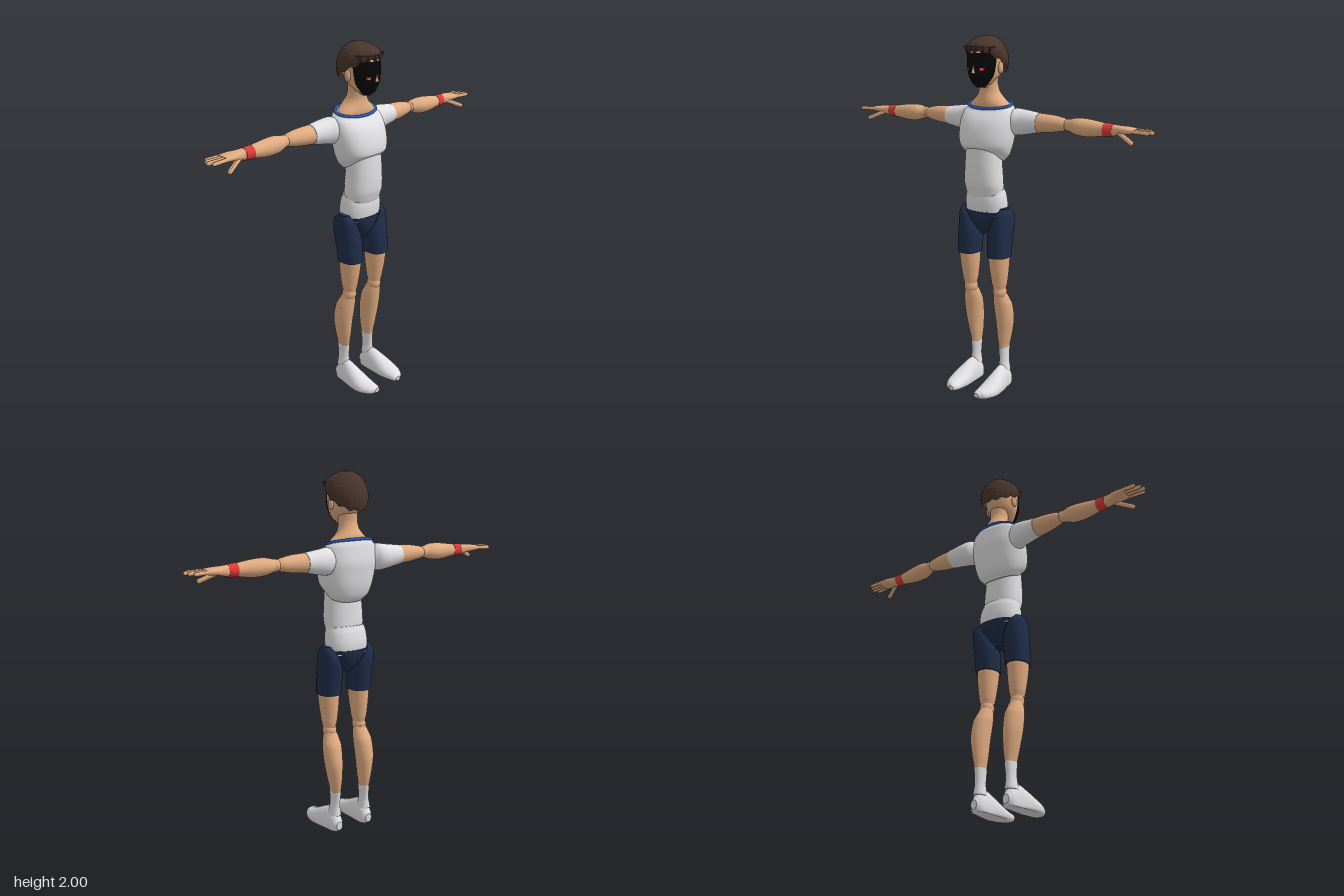
import * as THREE from 'three';

const mat = (name, color) => Object.assign(new THREE.MeshStandardMaterial({ color }), { name });

// Smooth tube through cross-sections [t, cA, cB, rA, rB] along 'x' (A=z,B=y), 'y' (A=x,B=z) or 'z' (A=y,B=x)
function loft(axis, sections, { power = 2, from = 0, to = Math.PI * 2, caps = true, rule = null, n = 28 } = {}) {
  const closed = to - from > 6.28, cols = closed ? n : n + 1, steps = 4, rings = [];
  const at = (i) => sections[Math.max(0, Math.min(sections.length - 1, i))];
  for (let i = 0; i < sections.length - 1; i++) {
    for (let s = 0; s < steps; s++) {
      const u = s / steps;
      rings.push(at(i).map((b, k) => {
        const a = at(i - 1)[k], c = at(i + 1)[k], d = at(i + 2)[k];
        if (k === 0) return b + (c - b) * u;
        return 0.5 * (2 * b + (c - a) * u + (2 * a - 5 * b + 4 * c - d) * u * u + (3 * b - a - 3 * c + d) * u ** 3);
      }));
    }
  }
  rings.push(at(sections.length - 1));
  if (caps) {
    const point = (r) => [r[0], r[1], r[2], 0, 0], first = rings[0], last = rings[rings.length - 1];
    rings.unshift(point(first), first);
    rings.push(last, point(last));
  }
  const pos = [], index = [], v = new THREE.Vector3();
  const bend = (x) => Math.sign(x) * Math.abs(x) ** (2 / power);
  for (const [t, cA, cB, rA, rB] of rings) {
    for (let j = 0; j < cols; j++) {
      const th = from + (to - from) * j / n;
      const A = cA + rA * bend(Math.cos(th)), B = cB + rB * bend(Math.sin(th));
      if (axis === 'y') v.set(A, t, B);
      else if (axis === 'x') v.set(t, B, A);
      else v.set(B, A, t);
      if (rule) rule(v);
      pos.push(v.x, v.y, v.z);
    }
  }
  for (let i = 0; i < rings.length - 1; i++) {
    if (caps && (i === 1 || i === rings.length - 3)) continue; // crisp cap edges
    for (let j = 0; j < n; j++) {
      const a = i * cols + j, b = i * cols + (j + 1) % cols, c = a + cols, d = b + cols;
      index.push(a, c, b, b, c, d);
    }
  }
  const g = new THREE.BufferGeometry();
  g.setAttribute('position', new THREE.Float32BufferAttribute(pos, 3));
  g.setIndex(index);
  g.computeVertexNormals();
  return g;
}

const ball = (x, y, z, rx, ry, rz) => new THREE.SphereGeometry(1, 20, 14).scale(rx, ry, rz).translate(x, y, z);

// Rounded finger between two points
function finger(a, b, r) {
  const p = new THREE.Vector3(...a), q = new THREE.Vector3(...b), d = q.clone().sub(p);
  const turn = new THREE.Quaternion().setFromUnitVectors(new THREE.Vector3(0, 1, 0), d.clone().normalize());
  return new THREE.CapsuleGeometry(r, d.length(), 4, 10).applyQuaternion(turn)
    .translate((p.x + q.x) / 2, (p.y + q.y) / 2, (p.z + q.z) / 2);
}

function mirrorX(geometry) {
  const g = geometry.clone();
  g.scale(-1, 1, 1);
  const idx = g.index.array;
  for (let i = 0; i < idx.length; i += 3) [idx[i + 1], idx[i + 2]] = [idx[i + 2], idx[i + 1]];
  g.computeVertexNormals();
  return g;
}

export function createModel() {
  const model = new THREE.Group();
  model.name = 'figure';
  const skin = mat('skin', 0xe0ab80), white = mat('white cloth', 0xe0e0e2), navy = mat('navy cloth', 0x1f2d48);
  const hairBrown = mat('brown hair', 0x49352c), black = mat('black mask', 0x070707);
  const red = mat('red', 0xe03a3a), blue = mat('blue trim', 0x2a5cc4);
  hairBrown.flatShading = true;
  hairBrown.side = black.side = THREE.DoubleSide;

  const add = (name, geometry, material) => {
    const m = new THREE.Mesh(geometry, material);
    m.name = name;
    model.add(m);
  };
  const pair = (name, geometry, material) => {
    add(name + 'Left', geometry, material);
    add(name + 'Right', mirrorX(geometry), material);
  };

  // Torso: ribcage arches up at the front and its neckline rises at the back
  add('chest', loft('y', [
    [1.335, 0, -0.035, 0.105, 0.075], [1.37, 0, -0.035, 0.132, 0.105], [1.41, 0, -0.04, 0.148, 0.12],
    [1.46, 0, -0.045, 0.158, 0.122], [1.53, 0, -0.058, 0.163, 0.114], [1.6, 0, -0.07, 0.155, 0.088],
    [1.63, 0, -0.075, 0.13, 0.07],
  ], { power: 2.4, n: 40, rule: (v) => {
    const low = THREE.MathUtils.smoothstep(1.43 - v.y, 0, 0.09), high = THREE.MathUtils.smoothstep(v.y, 1.55, 1.63);
    v.y += 0.4 * (v.z + 0.04) * low - 0.27 * (v.z + 0.075) * high;
  } }), white);
  add('abdomen', loft('y', [
    [1.12, 0, -0.025, 0.095, 0.07], [1.15, 0, -0.025, 0.107, 0.08], [1.2, 0, -0.018, 0.112, 0.088],
    [1.3, 0, -0.014, 0.106, 0.087], [1.42, 0, -0.015, 0.1, 0.08],
  ], { power: 2.3 }), white);
  add('waist', loft('y', [
    [1.02, 0, -0.047, 0.118, 0.088], [1.08, 0, -0.045, 0.122, 0.093], [1.13, 0, -0.04, 0.118, 0.088],
    [1.165, 0, -0.035, 0.11, 0.078],
  ], { power: 2.3, rule: (v) => { v.y -= 0.15 * (v.z + 0.04) * THREE.MathUtils.smoothstep(v.y, 1.08, 1.16); } }), white);
  add('shortsSeat', loft('y', [
    [0.91, 0, -0.04, 0.025, 0.04], [0.95, 0, -0.042, 0.05, 0.07], [1.0, 0, -0.045, 0.095, 0.088],
    [1.045, 0, -0.047, 0.124, 0.094],
  ], { power: 2.3 }), navy);

  // Neck and collar
  add('neck', loft('y', [
    [1.6, 0, -0.075, 0.138, 0.068], [1.635, 0, -0.075, 0.118, 0.072], [1.67, 0, -0.075, 0.078, 0.068],
    [1.7, 0, -0.068, 0.058, 0.057], [1.74, 0, -0.06, 0.052, 0.053], [1.8, 0, -0.06, 0.055, 0.055],
  ]), skin);
  const rim = [];
  for (let i = 0; i < 32; i++) {
    const a = i / 32 * Math.PI * 2;
    rim.push(new THREE.Vector3(0.134 * Math.cos(a), 1.63 - 0.02 * Math.sin(a), -0.075 + 0.073 * Math.sin(a)));
  }
  add('collarTrim', new THREE.TubeGeometry(new THREE.CatmullRomCurve3(rim, true), 64, 0.008, 8, true), blue);

  // Head with mask over the face
  const skull = [
    [1.725, 0, 0.0, 0.025, 0.03], [1.745, 0, -0.005, 0.048, 0.058], [1.79, 0, -0.026, 0.077, 0.097],
    [1.85, 0, -0.034, 0.09, 0.112], [1.91, 0, -0.04, 0.092, 0.112], [1.96, 0, -0.04, 0.07, 0.085],
  ];
  add('head', loft('y', skull), skin);
  add('faceMask', loft('y', skull.slice(0, 5).map(([y, x, z, rx, rz]) => [y, x, z, rx + 0.004, rz + 0.004]),
    { from: 0.3, to: Math.PI - 0.3, caps: false }), black);
  add('nose', new THREE.ConeGeometry(0.011, 0.045, 8).translate(0, 1.827, 0.084), skin);
  pair('ear', ball(0.093, 1.83, -0.04, 0.013, 0.032, 0.02), skin);
  pair('eye', new THREE.BoxGeometry(0.024, 0.014, 0.008).rotateY(0.4).translate(0.047, 1.825, 0.068), red);
  pair('eyeGlint', new THREE.BoxGeometry(0.008, 0.006, 0.009).rotateY(0.4).translate(0.047, 1.826, 0.07), white);

  // Hair cap, longer at the nape, with a ragged hem
  const hair = new THREE.SphereGeometry(1, 24, 10, 0, Math.PI * 2, 0, Math.PI * 0.62), hp = hair.attributes.position;
  const hem = Math.cos(Math.PI * 0.62);
  for (let i = 0; i < hp.count; i++) {
    const x = hp.getX(i), z = hp.getZ(i), t = (hp.getY(i) - hem) / (1 - hem);
    const edge = 1.85 + 0.065 * z + (i % 25 % 2 ? 0.014 : 0) * (1 - t);
    hp.setXYZ(i, x * 0.11, edge + (2 - edge) * t, -0.05 + z * 0.13);
  }
  hair.computeVertexNormals();
  add('hair', hair, hairBrown);
  for (let i = -2; i <= 2; i++) {
    const a = i * 0.42;
    add('fringeLock', new THREE.ConeGeometry(0.024, 0.055, 5).rotateX(Math.PI)
      .translate(0.1 * Math.sin(a), 1.915, -0.045 + 0.112 * Math.cos(a)), hairBrown);
  }

  // Arms
  pair('sleeve', loft('x', [
    [0.12, -0.09, 1.54, 0.045, 0.055], [0.155, -0.1, 1.54, 0.066, 0.073], [0.2, -0.11, 1.54, 0.065, 0.069],
    [0.3, -0.11, 1.543, 0.057, 0.054],
  ]), white);
  pair('upperArm', loft('x', [
    [0.29, -0.11, 1.543, 0.055, 0.052], [0.38, -0.112, 1.545, 0.048, 0.046], [0.44, -0.115, 1.545, 0.037, 0.036],
    [0.465, -0.115, 1.545, 0.028, 0.028],
  ]), skin);
  pair('elbow', ball(0.475, 1.545, -0.115, 0.033, 0.032, 0.033), skin);
  pair('forearm', loft('x', [
    [0.475, -0.112, 1.545, 0.032, 0.031], [0.53, -0.107, 1.543, 0.049, 0.045], [0.6, -0.105, 1.54, 0.046, 0.046],
    [0.7, -0.105, 1.54, 0.034, 0.033],
  ]), skin);
  pair('wristband', loft('x', [[0.69, -0.105, 1.54, 0.037, 0.036], [0.74, -0.107, 1.54, 0.034, 0.033]]), red);
  pair('hand', loft('x', [
    [0.735, -0.107, 1.54, 0.03, 0.03], [0.77, -0.108, 1.542, 0.035, 0.025], [0.81, -0.11, 1.545, 0.045, 0.02],
    [0.85, -0.11, 1.545, 0.046, 0.016], [0.865, -0.11, 1.545, 0.04, 0.012],
  ], { power: 2.5 }), skin);
  [0.925, 0.945, 0.955, 0.94].forEach((tip, i) => {
    const z = -0.146 + i * 0.024;
    pair('finger', finger([0.85, 1.546, z], [tip, 1.543, z - 0.004 + i * 0.003], 0.0105), skin);
  });
  pair('thumb', finger([0.775, 1.533, -0.088], [0.865, 1.492, -0.05], 0.013), skin);

  // Legs
  pair('shortsLeg', loft('y', [
    [0.79, 0.1, -0.022, 0.062, 0.073], [0.9, 0.1, -0.032, 0.065, 0.079], [0.97, 0.108, -0.042, 0.056, 0.08],
    [1.03, 0.12, -0.045, 0.04, 0.07], [1.065, 0.126, -0.042, 0.022, 0.035],
  ], { power: 2.3 }), navy);
  pair('thigh', loft('y', [
    [0.6, 0.1, -0.028, 0.036, 0.04], [0.63, 0.1, -0.028, 0.043, 0.047], [0.71, 0.1, -0.025, 0.052, 0.06],
    [0.8, 0.1, -0.022, 0.058, 0.068],
  ]), skin);
  pair('knee', ball(0.1, 0.58, -0.031, 0.039, 0.045, 0.042), skin);
  pair('shin', loft('y', [
    [0.23, 0.097, -0.085, 0.026, 0.042], [0.3, 0.1, -0.084, 0.037, 0.052], [0.4, 0.105, -0.078, 0.049, 0.061],
    [0.5, 0.103, -0.06, 0.052, 0.057], [0.55, 0.1, -0.043, 0.042, 0.045], [0.575, 0.1, -0.037, 0.034, 0.038],
  ]), skin);
  pair('sock', loft('y', [
    [0.09, 0.1, -0.083, 0.034, 0.042], [0.14, 0.099, -0.083, 0.026, 0.037], [0.18, 0.098, -0.084, 0.025, 0.038],
    [0.232, 0.097, -0.085, 0.027, 0.043],
  ]), white);
  // Shoes: flat soles, toes tapering inwards
  pair('shoe', loft('z', [
    [-0.135, 0.035, 0.1, 0.025, 0.02], [-0.11, 0.03, 0.1, 0.065, 0.036], [-0.06, 0.03, 0.101, 0.1, 0.043],
    [-0.01, 0.03, 0.105, 0.088, 0.05], [0.06, 0.025, 0.108, 0.06, 0.058], [0.12, 0.02, 0.107, 0.04, 0.054],
    [0.165, 0.02, 0.098, 0.026, 0.039], [0.185, 0.02, 0.088, 0.014, 0.016],
  ], { rule: (v) => { v.y = Math.max(v.y, 0); } }), white);

  return model;
}
